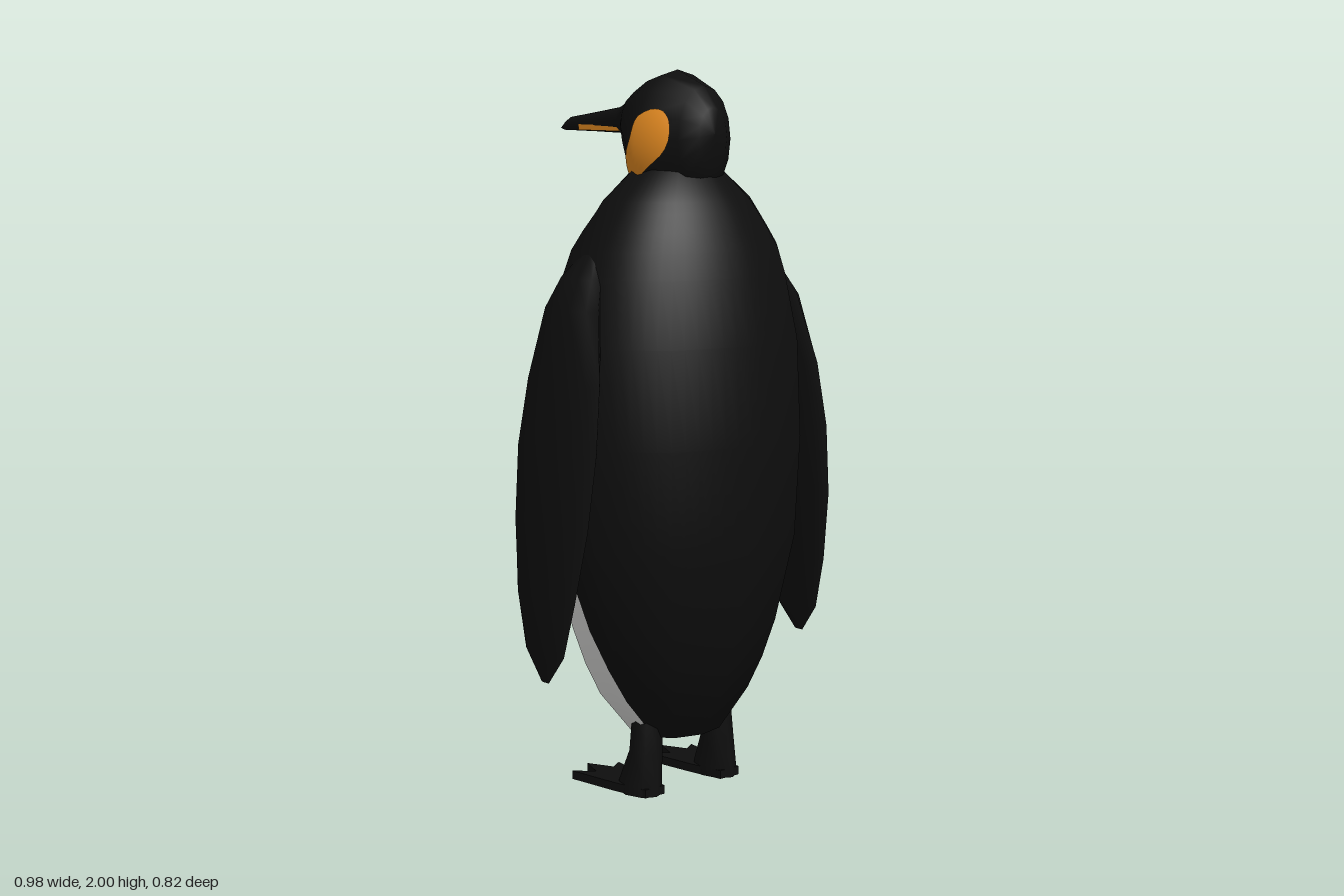
import * as THREE from 'three';

const mat = (name, color) => {
  const m = new THREE.MeshStandardMaterial({ color });
  m.name = name;
  return m;
};

const lerpRow = (rows, k, v) => {
  // interpolate a table row by its first column (ascending)
  let i = 0;
  while (i < rows.length - 2 && v > rows[i + 1][0]) i++;
  const t = THREE.MathUtils.clamp((v - rows[i][0]) / (rows[i + 1][0] - rows[i][0]), 0, 1);
  return THREE.MathUtils.lerp(rows[i][k], rows[i + 1][k], t);
};

// Surface over rows x columns; point(i, j) returns a Vector3
function grid(nRows, nCols, closed, point, normal) {
  const pos = [], nor = [], idx = [];
  for (let i = 0; i < nRows; i++) for (let j = 0; j < nCols; j++) {
    const p = point(i, j);
    pos.push(p.x, p.y, p.z);
    if (normal) nor.push(...normal(p).toArray());
  }
  for (let i = 0; i < nRows - 1; i++) for (let j = 0; j < nCols - (closed ? 0 : 1); j++) {
    const k = (j + 1) % nCols;
    const a = i * nCols + j, b = i * nCols + k, c = b + nCols, d = a + nCols;
    idx.push(a, d, c, a, c, b);
  }
  const g = new THREE.BufferGeometry();
  g.setAttribute('position', new THREE.Float32BufferAttribute(pos, 3));
  g.setIndex(idx);
  if (normal) g.setAttribute('normal', new THREE.Float32BufferAttribute(nor, 3));
  else g.computeVertexNormals();
  return g;
}

// Body rings: y, half width, centre z, half depth, half angle of the pale belly in degrees
const BODY = [
  [0.135, 0.0, 0.1, 0.0, 118], [0.16, 0.14, 0.1, 0.11, 116], [0.28, 0.235, 0.092, 0.19, 107],
  [0.37, 0.28, 0.092, 0.228, 98], [0.48, 0.32, 0.092, 0.262, 89], [0.72, 0.385, 0.09, 0.307, 80],
  [1.0, 0.4, 0.09, 0.32, 75], [1.27, 0.39, 0.09, 0.308, 73], [1.45, 0.345, 0.092, 0.277, 72],
  [1.52, 0.32, 0.094, 0.257, 67], [1.57, 0.287, 0.096, 0.23, 48], [1.62, 0.25, 0.1, 0.2, 37],
  [1.65, 0.23, 0.1, 0.18, 33], [1.73, 0.135, 0.1, 0.12, 42], [1.77, 0.06, 0.1, 0.06, 42],
];

function bodyPatch(y0, y1, front) {
  const rows = BODY.filter(r => r[0] >= y0 && r[0] <= y1);
  const start = front ? -180 : 0;
  return grid(rows.length, 61, false, (i, j) => {
    const [y, rx, zc, rz, b] = rows[i];
    const deg = THREE.MathUtils.clamp(start + j * 6, front ? -b : b, front ? b : 360 - b);
    const inFacet = ((deg % 36) + 36) % 36 - 18;
    const f = Math.cos(Math.PI / 10) / Math.cos(inFacet * Math.PI / 180); // ten-sided ring
    const t = deg * Math.PI / 180;
    return new THREE.Vector3(Math.sin(t) * rx * f, y, zc - Math.cos(t) * rz * f);
  }, p => new THREE.Vector3(p.x / 0.16, (p.y - 0.98) / 0.62, (p.z - 0.09) / 0.102).normalize());
}

// Head and beak sections: -z, half width, bottom y, top y
const HEAD = [
  [-0.253, 0.0, 1.83, 1.83], [-0.245, 0.05, 1.74, 1.9], [-0.21, 0.095, 1.67, 1.957],
  [-0.1, 0.152, 1.6, 2.0], [-0.03, 0.128, 1.63, 1.982], [0.05, 0.078, 1.745, 1.945],
  [0.11, 0.03, 1.82, 1.908], [0.14, 0.021, 1.824, 1.896], [0.25, 0.018, 1.826, 1.88],
  [0.36, 0.015, 1.827, 1.865], [0.385, 0.01, 1.826, 1.852], [0.412, 0.0, 1.832, 1.832],
];

function headGeometry() {
  const n = 16;
  return grid(HEAD.length, n, true, (i, j) => {
    const [z, rx, lo, hi] = HEAD[i];
    const t = j / n * Math.PI * 2;
    return new THREE.Vector3(-Math.sin(t) * rx, (hi + lo) / 2 + Math.cos(t) * (hi - lo) / 2, -z);
  });
}

// Half width of the head at a given height and depth
function headX(y, z) {
  const rx = lerpRow(HEAD, 1, -z), lo = lerpRow(HEAD, 2, -z), hi = lerpRow(HEAD, 3, -z);
  const v = (y - (lo + hi) / 2) / ((hi - lo) / 2);
  return rx * Math.sqrt(Math.max(0, 1 - v * v));
}

// Cheek patch laid over the head (z, y outline)
function cheekGeometry(side) {
  const outline = new THREE.CatmullRomCurve3([
    [0.19, 1.85], [0.165, 1.89], [0.13, 1.895], [0.09, 1.865], [0.07, 1.82], [0.035, 1.765],
    [0.035, 1.7], [0.08, 1.7], [0.13, 1.74], [0.18, 1.79],
  ].map(([z, y]) => new THREE.Vector3(0, y, z)), true);
  const pts = outline.getPoints(30).slice(0, 30);
  return grid(6, 30, true, (i, j) => {
    const p = pts[j].clone().lerp(new THREE.Vector3(0, 1.8, 0.11), i / 5);
    p.x = side * (headX(p.y, p.z) + 0.004);
    return p;
  }, p => new THREE.Vector3(p.x / 0.023, (p.y - 1.8) / 0.04, (p.z - 0.09) / 0.03).normalize());
}

// Flipper sections: y, inner x, outer x, front z, back z
const FLIPPER = [
  [0.37, 0.472, 0.474, 0.09, 0.12], [0.45, 0.452, 0.484, 0.015, 0.18], [0.6, 0.432, 0.489, -0.03, 0.218],
  [0.8, 0.403, 0.483, -0.06, 0.253], [1.0, 0.375, 0.468, -0.07, 0.263], [1.18, 0.355, 0.44, -0.055, 0.248],
  [1.37, 0.32, 0.405, -0.015, 0.2], [1.45, 0.29, 0.358, 0.005, 0.165], [1.515, 0.27, 0.305, 0.05, 0.12],
];

function flipperGeometry(side) {
  const n = 10;
  return grid(FLIPPER.length, n, true, (i, j) => {
    const [y, x0, x1, z0, z1] = FLIPPER[i];
    const t = j / n * Math.PI * 2;
    return new THREE.Vector3(side * (x0 + x1) / 2 + Math.sin(t) * (x1 - x0) / 2, y,
      (z0 + z1) / 2 - Math.cos(t) * (z1 - z0) / 2);
  });
}

// Leg sections: y, inner x, outer x, front z, back z
const LEG = [
  [0.0, 0.09, 0.195, 0.035, 0.18], [0.03, 0.09, 0.19, 0.035, 0.18], [0.12, 0.09, 0.178, 0.075, 0.172],
  [0.24, 0.085, 0.168, 0.08, 0.165],
];

function legGeometry(side) {
  const n = 8;
  return grid(LEG.length, n, true, (i, j) => {
    const [y, x0, x1, z0, z1] = LEG[i];
    const t = j / n * Math.PI * 2;
    return new THREE.Vector3(side * (x0 + x1) / 2 + Math.sin(t) * (x1 - x0) / 2, y,
      (z0 + z1) / 2 - Math.cos(t) * (z1 - z0) / 2);
  });
}

// Webbed foot with three clawed toes, drawn flat with toes along +y
function footGeometry() {
  const shape = new THREE.Shape([
    [-0.035, -0.17], [0.035, -0.17], [0.055, -0.06], [0.08, 0.085], [0.04, 0.06], [0.005, 0.135],
    [-0.025, 0.06], [-0.075, 0.105], [-0.055, -0.06],
  ].map(p => new THREE.Vector2(...p)));
  return new THREE.ExtrudeGeometry(shape, { depth: 0.024, bevelEnabled: false }).rotateX(-Math.PI / 2);
}

export function createModel() {
  const black = mat('black plumage', 0x0e0e0e);
  const white = mat('white belly', 0xf0f0ee);
  const orange = mat('orange', 0xe68c22);
  const amber = mat('light orange', 0xf0b877);
  const cream = mat('pale orange', 0xf0d3b4);
  const cheekOrange = orange.clone();
  cheekOrange.name = 'cheek orange';
  cheekOrange.side = THREE.DoubleSide;

  const model = new THREE.Group();
  model.name = 'penguin';
  const add = (name, geometry, material) => {
    const m = new THREE.Mesh(geometry, material);
    m.name = name;
    model.add(m);
    return m;
  };

  // Torso: dark back, then belly and throat bands
  add('back', bodyPatch(0, 2, false), black);
  add('belly', bodyPatch(0, 1.52, true), white);
  add('chestPaleBand', bodyPatch(1.52, 1.57, true), cream);
  add('chestLightBand', bodyPatch(1.57, 1.62, true), amber);
  add('throat', bodyPatch(1.62, 2, true), orange);

  // Head with beak and lower bill stripe
  add('headAndBeak', headGeometry(), black);
  add('billStripe', new THREE.BoxGeometry(0.034, 0.016, 0.18), orange).position.set(0, 1.837, -0.22);

  // Paired parts
  for (const [side, label] of [[1, 'left'], [-1, 'right']]) {
    add(label + 'Cheek', cheekGeometry(side), cheekOrange);
    add(label + 'Flipper', flipperGeometry(side), black);
    add(label + 'Leg', legGeometry(side), black);
    const foot = add(label + 'Foot', footGeometry(), black);
    foot.position.set(side * 0.14, 0, 0);
  }
  return model;
}
